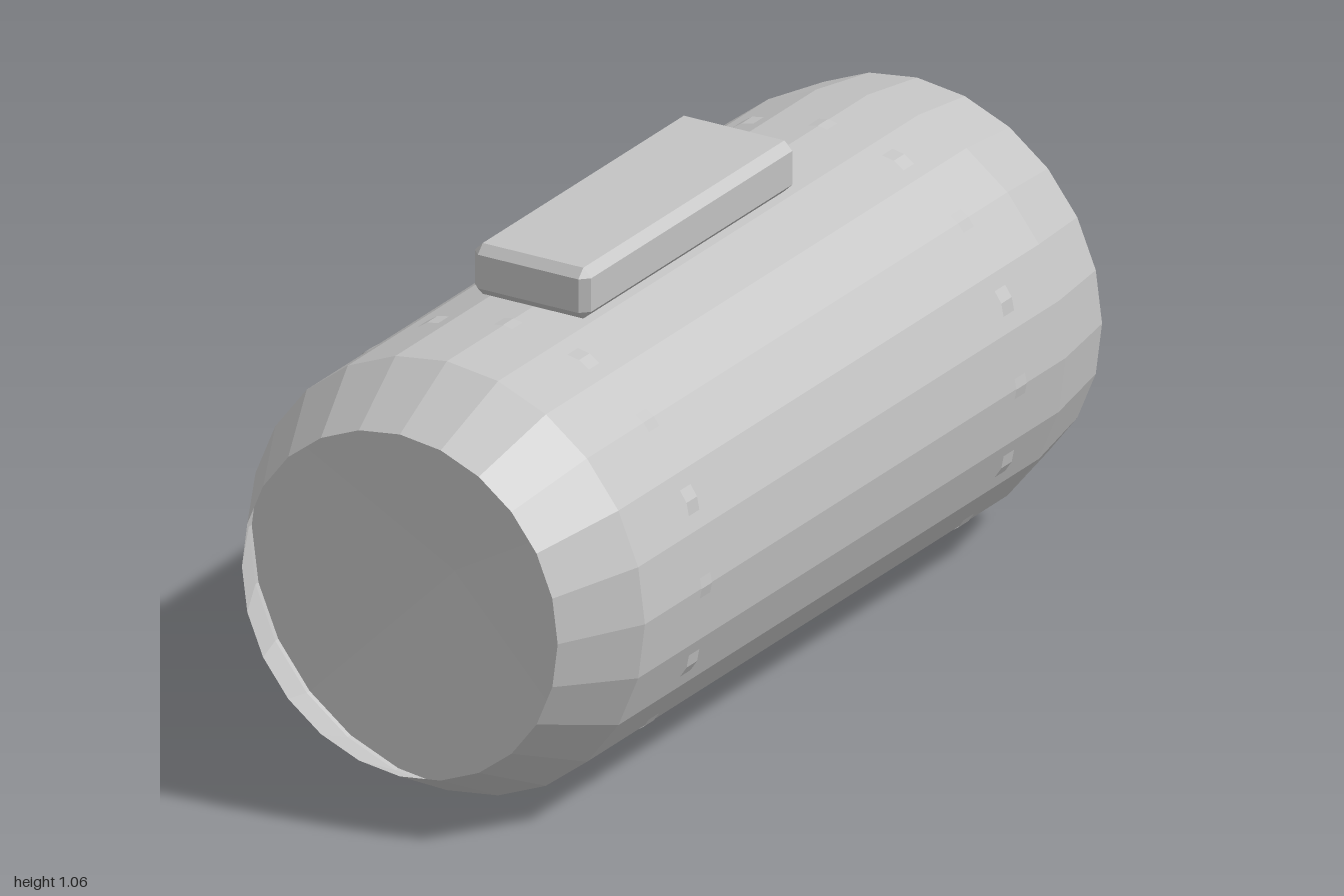
import * as THREE from 'three';
import { ConvexGeometry } from 'three/addons/geometries/ConvexGeometry.js';

const grey = new THREE.MeshStandardMaterial({ color: 0xc3c3c3, flatShading: true, side: THREE.DoubleSide });
grey.name = 'grey metal';

const AXIS_Y = 0.474;

// Revolves [radius, z] points around the long axis.
function revolve(name, points, sides, x = 0, y = 0) {
  const geo = new THREE.LatheGeometry(points.map(([r, z]) => new THREE.Vector2(r, z)), sides);
  geo.rotateX(Math.PI / 2);
  const mesh = new THREE.Mesh(geo, grey);
  mesh.name = name;
  mesh.position.set(x, AXIS_Y + y, 0);
  return mesh;
}

// Box with every edge cut at an angle; a, b, c are half sizes.
function chamferedBox(a, b, c, cut) {
  const points = [];
  for (const sx of [-1, 1]) for (const sy of [-1, 1]) for (const sz of [-1, 1]) {
    points.push(
      new THREE.Vector3(sx * a, sy * (b - cut), sz * (c - cut)),
      new THREE.Vector3(sx * (a - cut), sy * b, sz * (c - cut)),
      new THREE.Vector3(sx * (a - cut), sy * (b - cut), sz * c),
    );
  }
  return new ConvexGeometry(points);
}

export function createModel() {
  const model = new THREE.Group();
  model.name = 'launcherPod';

  // Open shell, tapered at both ends
  model.add(revolve('shell', [[0.442, -0.98], [0.473, -0.79], [0.473, 0.82], [0.377, 1]], 24));

  // Recessed, slightly dished front bulkhead
  model.add(revolve('frontBulkhead', [[0.472, 0.81], [0, 0.79]], 24));

  // Two coarse bands that just break through the shell
  for (const z of [0.585, -0.62]) {
    model.add(revolve('band', [[0.4745, z - 0.02], [0.4745, z + 0.02]], 16));
  }

  // One central launch tube and six around it
  const tube = [[0.095, 0.78], [0.095, -1], [0.12, -1], [0.12, 0.78]];
  model.add(revolve('centreTube', tube, 10));
  for (let i = 0; i < 6; i++) {
    const a = i * Math.PI / 3;
    model.add(revolve('outerTube', tube, 10, 0.263 * Math.cos(a), 0.263 * Math.sin(a)));
  }

  // Chamfered mounting block on top
  const block = new THREE.Mesh(chamferedBox(0.139, 0.056, 0.404, 0.019), grey);
  block.name = 'mountingBlock';
  block.position.set(0, 1.004, 0.105);
  model.add(block);

  return model;
}
